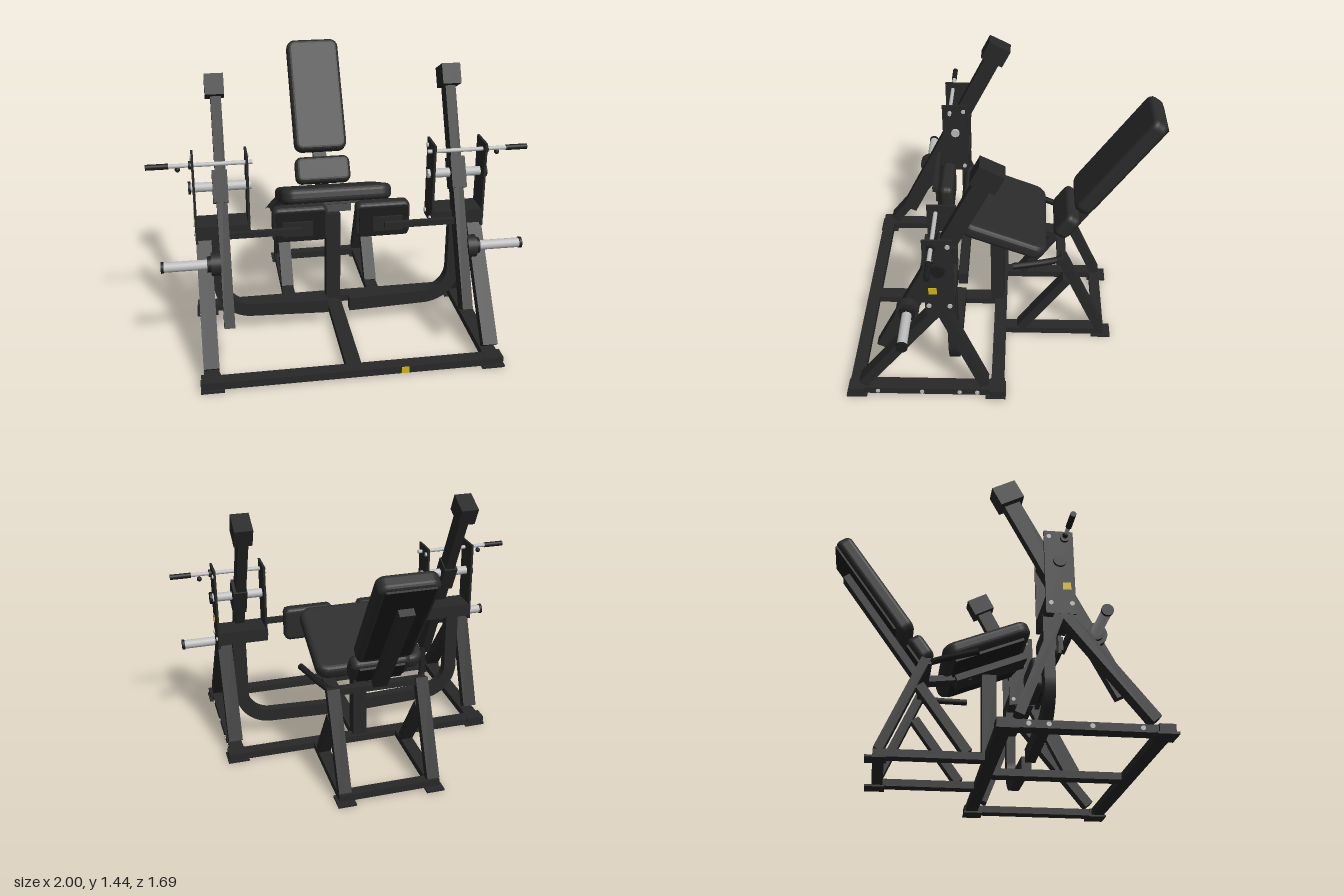
import * as THREE from 'three';

const mat = (name, color) => Object.assign(new THREE.MeshStandardMaterial({ color }), { name });

export function createModel() {
  const root = new THREE.Group();
  root.name = 'legPressMachine';
  const frame = mat('frame black', 0x282828);
  const cushion = mat('cushion black', 0x2b2b2b);
  const dark = mat('dark rubber', 0x1c1c1c);
  const silver = mat('polished steel', 0xbdbdbd);
  const yellow = mat('yellow label', 0xd0b81c);

  const add = (name, geo, m, x = 0, y = 0, z = 0, parent = root) => {
    const mesh = new THREE.Mesh(geo, m);
    mesh.name = name;
    mesh.position.set(x, y, z);
    parent.add(mesh);
    return mesh;
  };
  const box = (name, w, h, d, x, y, z, m = frame, parent = root) =>
    add(name, new THREE.BoxGeometry(w, h, d), m, x, y, z, parent);
  // rod along x between x0 and x1
  const rod = (name, r, x0, x1, y, z, m) => {
    const g = new THREE.CylinderGeometry(r, r, Math.abs(x1 - x0), 24).rotateZ(Math.PI / 2);
    return add(name, g, m, (x0 + x1) / 2, y, z);
  };
  // rectangular tube in a side plane from [y, z] to [y, z]
  const beam = (name, x, a, b, w, d, m = frame) => {
    const dy = b[0] - a[0], dz = b[1] - a[1];
    const mesh = box(name, w, Math.hypot(dy, dz), d, x, (a[0] + b[0]) / 2, (a[1] + b[1]) / 2, m);
    mesh.rotation.x = Math.atan2(dz, dy);
    return mesh;
  };
  // upholstered pad: rounded outline in xy, thickness along z, soft rim
  const padGeo = (w, h, t, r, bevel = 0.025) => {
    const a = w / 2 - bevel, b = h / 2 - bevel, c = Math.max(r - bevel, 0.005);
    const s = new THREE.Shape();
    s.moveTo(-a + c, -b);
    s.lineTo(a - c, -b);
    s.absarc(a - c, -b + c, c, -Math.PI / 2, 0);
    s.lineTo(a, b - c);
    s.absarc(a - c, b - c, c, 0, Math.PI / 2);
    s.lineTo(-a + c, b);
    s.absarc(-a + c, b - c, c, Math.PI / 2, Math.PI);
    s.lineTo(-a, -b + c);
    s.absarc(-a + c, -b + c, c, Math.PI, Math.PI * 1.5);
    return new THREE.ExtrudeGeometry(s, {
      depth: t - 2 * bevel, bevelEnabled: true, bevelSize: bevel,
      bevelThickness: bevel, bevelSegments: 4, curveSegments: 8,
    }).translate(0, 0, -t / 2 + bevel);
  };

  // base frame
  box('frontBaseBar', 1.54, 0.04, 0.07, 0, 0.03, 0.8);
  box('rearBaseBar', 1.54, 0.04, 0.07, 0, 0.03, 0.03);
  box('centreBaseBar', 0.08, 0.04, 0.76, 0, 0.03, 0.41);
  box('seatBaseCrossBar', 0.56, 0.04, 0.06, 0, 0.03, -0.54);
  box('baseLabel', 0.04, 0.036, 0.004, 0.26, 0.03, 0.837, yellow);

  // seat post, seat and its supports
  box('seatPost', 0.08, 0.55, 0.08, 0, 0.315, 0.05);
  const seat = new THREE.Group();
  seat.name = 'seat';
  seat.position.set(0, 0.69, 0.012);
  seat.rotation.x = -0.38;
  root.add(seat);
  add('seatCushion', padGeo(0.61, 0.5, 0.085, 0.07, 0.03).rotateX(-Math.PI / 2), cushion, 0, 0, 0, seat);
  box('seatBoard', 0.5, 0.015, 0.4, 0, -0.05, 0, dark, seat);
  box('seatBeam', 0.14, 0.04, 0.42, 0, -0.075, 0.02, frame, seat);
  beam('seatRearBeam', 0, [0.575, -0.05], [0.545, -0.32], 0.08, 0.035);
  box('rearCrossBar', 0.56, 0.035, 0.05, 0, 0.545, -0.31);

  // reclined backrest with lumbar pad
  const back = new THREE.Group();
  back.name = 'backrest';
  back.position.set(0, 1.068, -0.606);
  back.rotation.x = -0.611;
  root.add(back);
  add('backCushion', padGeo(0.315, 0.7, 0.09, 0.05), cushion, 0, 0, 0, back);
  add('lumbarCushion', padGeo(0.33, 0.16, 0.085, 0.04), cushion, 0, -0.467, 0, back);
  box('backBoard', 0.25, 0.62, 0.012, 0, 0.02, -0.05, dark, back);
  box('lumbarBoard', 0.25, 0.12, 0.014, 0, -0.467, -0.048, dark, back);
  box('backBeam', 0.08, 0.72, 0.042, 0, -0.18, -0.076, frame, back);

  for (const s of [-1, 1]) {
    // base sides and foot plates
    box('sideBaseBar', 0.08, 0.04, 0.83, s * 0.73, 0.03, 0.42);
    box('seatBaseRail', 0.07, 0.04, 0.57, s * 0.25, 0.03, -0.285);
    box('frontFootPlate', 0.12, 0.012, 0.11, s * 0.73, 0.006, 0.795);
    box('rearFootPlate', 0.12, 0.012, 0.11, s * 0.73, 0.006, 0.04);
    box('frontCornerSleeve', 0.1, 0.044, 0.08, s * 0.735, 0.03, 0.795);
    box('rearCornerSleeve', 0.1, 0.044, 0.08, s * 0.735, 0.03, 0.03);
    box('seatFootPlate', 0.1, 0.012, 0.11, s * 0.25, 0.006, -0.555);
    for (const z of [0.68, 0.44, 0.235, 0.14])
      rod('baseBolt', 0.012, s * 0.765, s * 0.775, 0.03, z, silver);

    // rear seat legs and side hand grips
    beam('rearSeatLeg', s * 0.25, [0.05, -0.545], [0.56, -0.315], 0.07, 0.05);
    beam('seatBrace', s * 0.25, [0.05, -0.09], [0.41, -0.345], 0.07, 0.05);
    const grip = new THREE.CatmullRomCurve3([
      [0.2, 0.545, -0.31], [0.25, 0.547, -0.3], [0.285, 0.555, -0.24], [0.36, 0.58, -0.04],
    ].map(([x, y, z]) => new THREE.Vector3(s * x, y, z)));
    add('seatGrip', new THREE.TubeGeometry(grip, 20, 0.018, 12), dark);

    // side A-frame
    beam('frontLeg', s * 0.73, [0.08, 0.755], [0.64, 0.315], 0.08, 0.055);
    beam('rearLeg', s * 0.73, [0.08, 0.1], [0.64, 0.32], 0.08, 0.05);
    box('towerBase', 0.28, 0.075, 0.15, s * 0.63, 0.667, 0.315);

    // curved lower brace
    const b = new THREE.Shape();
    b.moveTo(0.06, 0.08);
    b.lineTo(0.48, 0.09 + 0.005);
    b.absarc(0.48, 0.305, 0.21, -Math.PI / 2, 0);
    b.lineTo(0.69, 0.64);
    b.lineTo(0.615, 0.64);
    b.absarc(0.48, 0.305, 0.135, 0, -Math.PI / 2, true);
    b.lineTo(0.06, 0.155);
    const brace = new THREE.ExtrudeGeometry(b, { depth: 0.055, bevelEnabled: false, curveSegments: 16 })
      .translate(0, 0, -0.0275);
    if (s < 0) brace.rotateY(Math.PI);
    add('curvedBrace', brace, frame, 0, 0, 0.265);

    // pivot tower plates, bolts and label
    box('outerTowerPlate', 0.012, 0.47, 0.15, s * 0.765, 0.845, 0.315);
    box('innerTowerPlate', 0.012, 0.45, 0.15, s * 0.49, 0.857, 0.315);
    for (const [y, z] of [[1.045, 0.265], [0.665, 0.265], [0.665, 0.37]]) {
      rod('towerBolt', 0.012, s * 0.765, s * 0.778, y, z, silver);
      rod('towerBolt', 0.012, s * 0.475, s * 0.49, y, z, silver);
    }
    box('towerLabel', 0.004, 0.04, 0.042, s * 0.773, 0.762, 0.348, yellow);

    // pivot axle and adjustment handle
    rod('pivotAxle', 0.025, s * 0.47, s * 0.785, 0.9, 0.315, silver);
    rod('axleCap', 0.034, s * 0.78, s * 0.793, 0.9, 0.315, dark);
    rod('handleBar', 0.011, s * 0.46, s * 0.89, 1.037, 0.345, silver);
    rod('handleGrip', 0.015, s * 0.885, s, 1.037, 0.345, dark);
    rod('handleCollar', 0.022, s * 0.772, s * 0.785, 1.037, 0.345, dark);
    add('handleKnob', new THREE.SphereGeometry(0.014, 12, 8), dark, s * 0.84, 1.013, 0.335);

    // press lever
    beam('lever', s * 0.625, [0.245, 0.64], [1.31, 0.1], 0.055, 0.09);
    beam('leverSleeve', s * 0.63, [0.82, 0.35], [0.97, 0.274], 0.078, 0.11);
    const head = box('leverHead', 0.1, 0.11, 0.135, s * 0.63, 1.365, 0.075);
    head.rotation.x = -0.47;

    // weight peg
    rod('pegHub', 0.06, s * 0.65, s * 0.7, 0.545, 0.497, frame);
    rod('pegFlange', 0.042, s * 0.7, s * 0.72, 0.545, 0.497, dark);
    rod('weightPeg', 0.026, s * 0.71, s * 0.945, 0.545, 0.497, silver);
    rod('pegCap', 0.03, s * 0.94, s * 0.955, 0.545, 0.497, dark);

    // leg pad on its arm
    box('padArm', 0.4, 0.032, 0.026, s * 0.42, 0.668, 0.428);
    box('padBracket', 0.16, 0.08, 0.014, s * 0.24, 0.668, 0.408);
    box('padBoard', 0.26, 0.16, 0.016, s * 0.222, 0.675, 0.39, dark);
    add('legPad', padGeo(0.295, 0.2, 0.075, 0.035), cushion, s * 0.222, 0.675, 0.345);
  }
  return root;
}
